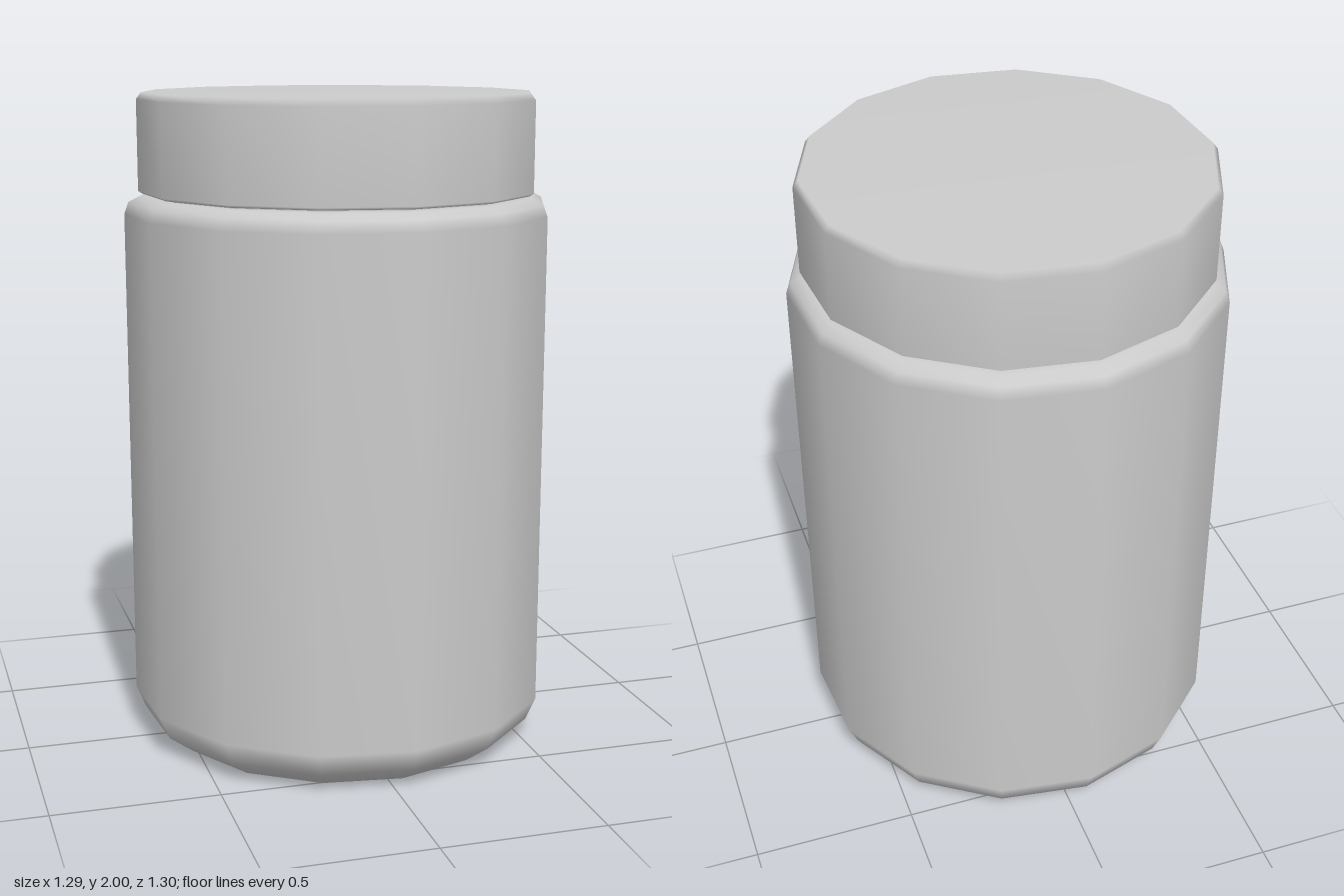
import * as THREE from 'three';

const SIDES = 14;
const TURN = 0.085; // slight twist of the polygon about the y axis

// Smooth-shaded, 14-sided turned part from [radius, height] pairs, bottom to top
function turned(name, profile, material) {
  const points = profile.map(([r, y]) => new THREE.Vector2(r, y));
  const mesh = new THREE.Mesh(new THREE.LatheGeometry(points, SIDES, TURN), material);
  mesh.name = name;
  return mesh;
}

export function createModel() {
  const group = new THREE.Group();
  group.name = 'jar';
  const material = new THREE.MeshStandardMaterial({ color: 0xcccccc });

  // Container with chamfered base and rounded shoulder
  group.add(turned('body', [
    [0, 0], [0.54, 0], [0.62, 0.06], [0.65, 0.13],
    [0.65, 1.64], [0.637, 1.675], [0.605, 1.692], [0.57, 1.695], [0, 1.695],
  ], material));

  // Short neck closing the gap under the lid
  group.add(turned('neck', [[0.57, 1.68], [0.57, 1.72]], material));

  // Flat lid with a fine bevel around the top
  group.add(turned('lid', [
    [0, 1.7], [0.595, 1.7], [0.607, 1.708], [0.607, 1.98], [0.592, 2], [0, 2],
  ], material));

  return group;
}
